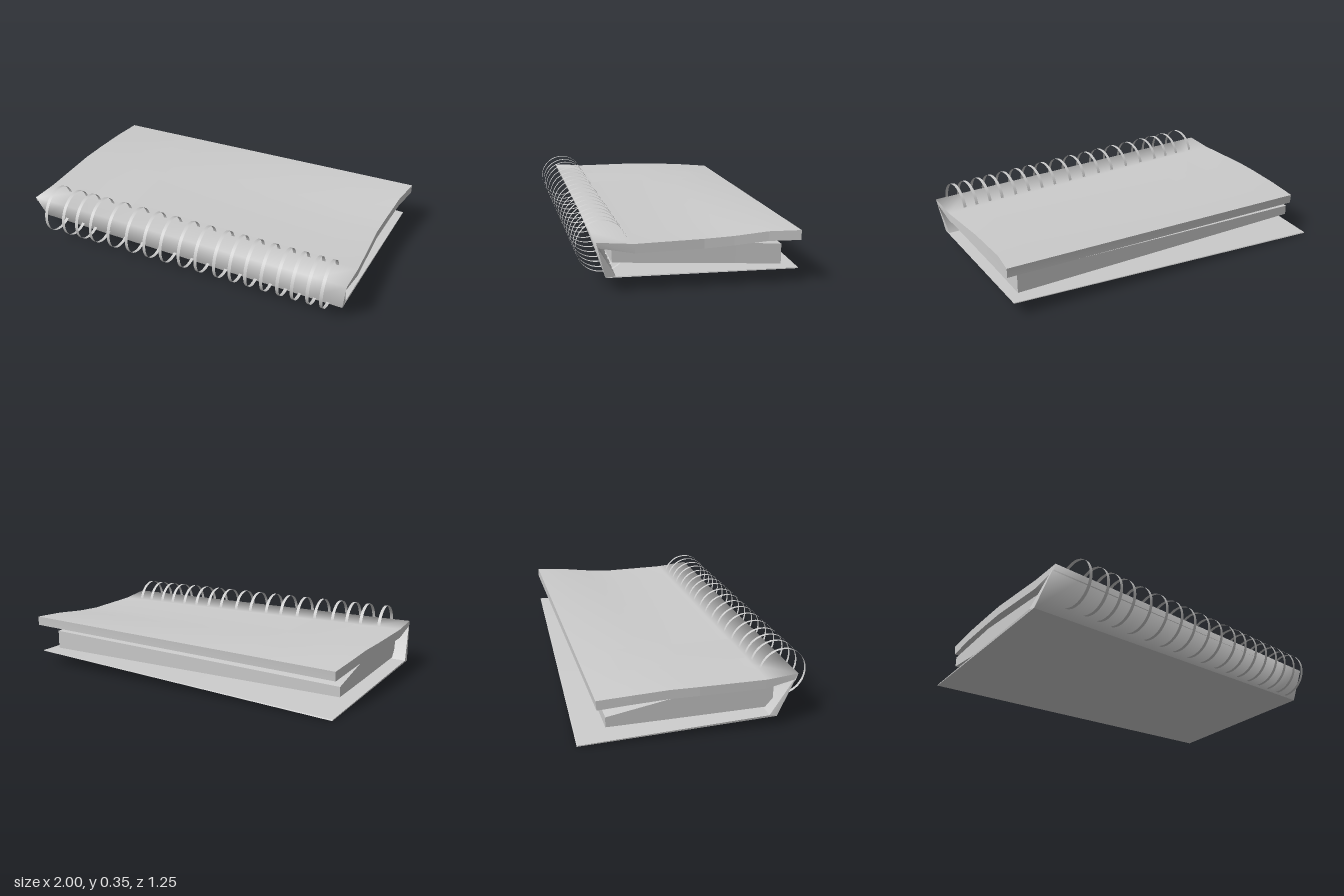
import * as THREE from 'three';
import { mergeGeometries } from 'three/addons/utils/BufferGeometryUtils.js';

const lerpRow = (a, b, t) => a.map((p, i) => p.map((v, k) => v + (b[i][k] - v) * t));

// Smooth ruled surface between two rows of [x, y, z] points
function loft(rowA, rowB, n = 1) {
  const pos = [], idx = [], m = rowA.length;
  for (let j = 0; j <= n; j++) pos.push(...lerpRow(rowA, rowB, j / n).flat());
  for (let j = 0; j < n; j++) {
    for (let i = 0; i < m - 1; i++) {
      const a = j * m + i, c = a + m;
      idx.push(a, a + 1, c, a + 1, c + 1, c);
    }
  }
  const g = new THREE.BufferGeometry();
  g.setAttribute('position', new THREE.Float32BufferAttribute(pos, 3));
  g.setIndex(idx);
  g.computeVertexNormals();
  return g;
}

// Closed slab between outer and inner profiles given at both ends;
// creases lists the profile indices where the shading breaks
function slab(outer, inner, creases) {
  const [oL, oR] = outer, [iL, iR] = inner, parts = [];
  for (let k = 0; k < creases.length - 1; k++) {
    const cut = (row) => row.slice(creases[k], creases[k + 1] + 1);
    parts.push(loft(cut(oL), cut(oR), 10));
    parts.push(loft(cut(iL).reverse(), cut(iR).reverse(), 10));
  }
  for (let i = 0; i < oL.length - 1; i++) {
    const seg = (row) => row.slice(i, i + 2);
    parts.push(loft(seg(oR), seg(iR)), loft(seg(iL), seg(oL)));
  }
  const e = oL.length - 1;
  parts.push(loft([oL[0], oR[0]], [iL[0], iR[0]], 1));
  parts.push(loft([iL[e], iR[e]], [oL[e], oR[e]], 1));
  return mergeGeometries(parts);
}

export function createModel() {
  const group = new THREE.Group();
  const grey = new THREE.MeshStandardMaterial({ color: 0xcccccc });
  const add = (name, geometry, material = grey) => {
    const mesh = new THREE.Mesh(geometry, material);
    mesh.name = name;
    group.add(mesh);
    return mesh;
  };

  // Wrap-around cover: top board from the back edge, spine, then thin bottom board
  const outerL = [[-0.9, 0.22, -0.52], [-0.92, 0.235, -0.34], [-0.935, 0.247, -0.15], [-0.95, 0.25, 0],
    [-0.965, 0.25, 0.35], [-0.97, 0.265, 0.52], [-1, 0.055, 0.4], [-0.93, 0, -0.625]];
  const outerR = [[1, 0.283, -0.48], [0.967, 0.278, -0.32], [0.945, 0.259, -0.15], [0.93, 0.25, 0],
    [0.93, 0.248, 0.35], [0.925, 0.265, 0.538], [0.9, 0.075, 0.49], [0.97, 0.075, -0.48]];
  const innerL = [[-0.9, 0.168, -0.515], [-0.92, 0.185, -0.34], [-0.935, 0.197, -0.15], [-0.95, 0.2, 0],
    [-0.965, 0.2, 0.35], [-0.97, 0.235, 0.51], [-1, 0.065, 0.36], [-0.93, 0.005, -0.62]];
  const innerR = [[1, 0.232, -0.48], [0.967, 0.228, -0.32], [0.945, 0.21, -0.15], [0.93, 0.2, 0],
    [0.93, 0.2, 0.35], [0.92, 0.235, 0.528], [0.9, 0.08, 0.44], [0.97, 0.08, -0.48]];
  add('cover', slab([outerL, outerR], [innerL, innerR], [0, 6, 7]));

  // Page block, lying slightly askew between the boards
  const pageTop = [
    [[-0.91, 0.13, -0.475], [-0.915, 0.185, -0.15], [-0.92, 0.205, 0.41]],
    [[0.91, 0.19, -0.41], [0.9, 0.211, -0.17], [0.88, 0.213, 0.455]]];
  const pageBottom = [
    [[-0.91, 0.075, -0.475], [-0.915, 0.074, -0.15], [-0.92, 0.072, 0.41]],
    [[0.91, 0.085, -0.41], [0.9, 0.102, -0.17], [0.88, 0.145, 0.455]]];
  add('pages', slab(pageTop, pageBottom, [0, 2]));

  // Label strip following the curve of the top board
  const strip = (t) => lerpRow(outerL, outerR, t).slice(1, 5).map(([x, y, z]) => [x, y + 0.003, z]);
  add('label', loft(strip(0.145), strip(0.285), 2),
    new THREE.MeshStandardMaterial({ color: 0xffffff, side: THREE.DoubleSide }));

  // Binding rings: thin bands threaded through the spine
  const ringX = [-0.83, -0.717, -0.63, -0.54, -0.425, -0.31, -0.2, -0.1, 0.01,
    0.11, 0.22, 0.31, 0.4, 0.49, 0.58, 0.66, 0.745, 0.82];
  const band = new THREE.CylinderGeometry(0.131, 0.131, 0.018, 40, 1, true).rotateZ(Math.PI / 2);
  const ringMaterial = new THREE.MeshStandardMaterial({ color: 0xcccccc, side: THREE.DoubleSide });
  for (const x of ringX) add('bindingRing', band, ringMaterial).position.set(x, 0.216, 0.495);

  return group;
}
